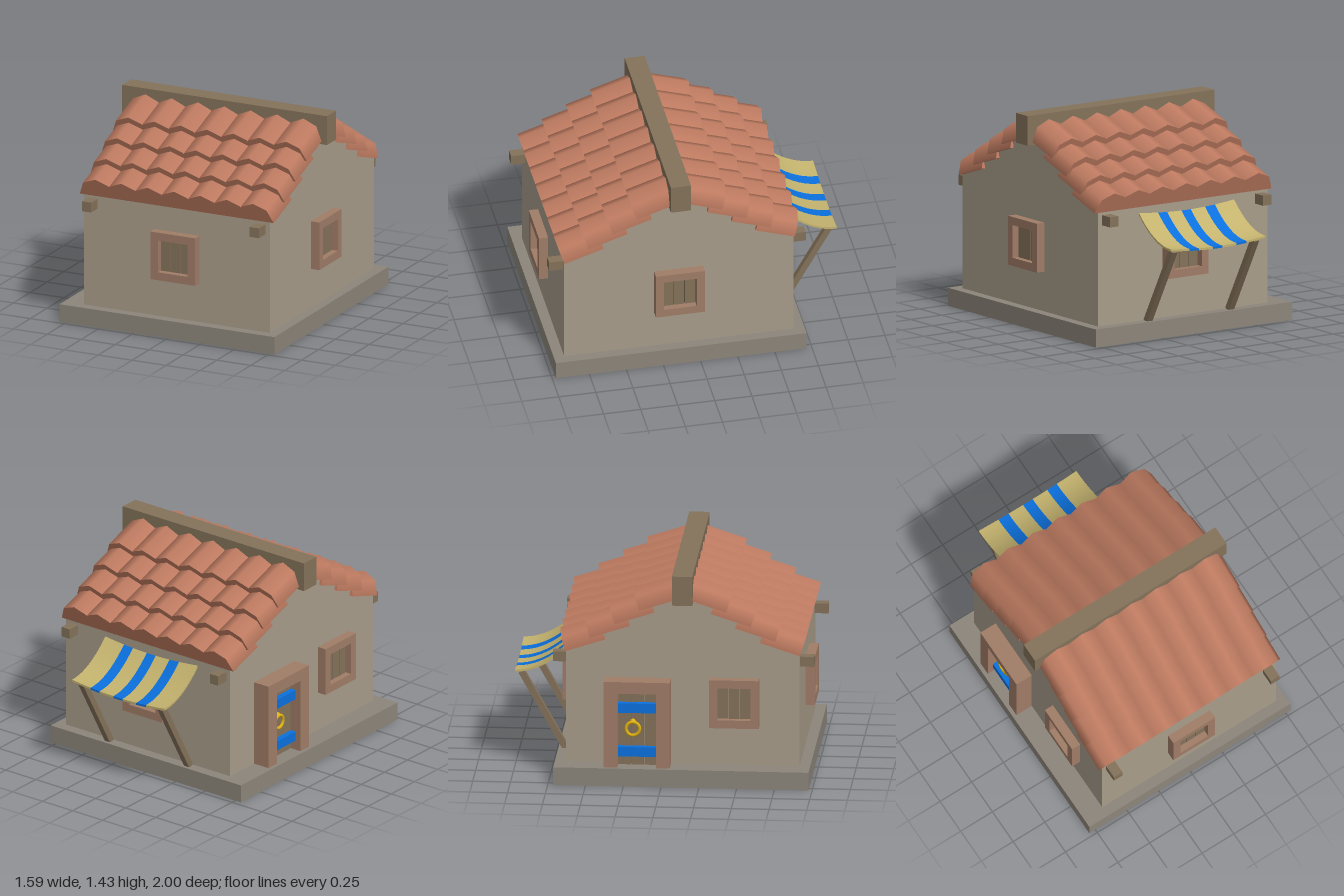
import * as THREE from 'three';
import { mergeGeometries } from 'three/addons/utils/BufferGeometryUtils.js';

const mat = (color) => new THREE.MeshStandardMaterial({ color });
const stone = mat(0x8c857a), plaster = mat(0xa89c8a), trim = mat(0xa07c67), clay = mat(0xbd7a60);
const wood = mat(0x84725a), blue = mat(0x0b70dd), cloth = mat(0xc4b36e), gold = mat(0xe0b212);

const CX = 0.035, CZ = 0.133; // centre of the walls

function add(parent, name, geometry, material, x = 0, y = 0, z = 0) {
  const mesh = new THREE.Mesh(geometry, material);
  mesh.name = name;
  mesh.position.set(x, y, z);
  parent.add(mesh);
  return mesh;
}
const box = (parent, name, material, w, h, d, x, y, z) =>
  add(parent, name, new THREE.BoxGeometry(w, h, d), material, x, y, z);

function group(parent, name, x, y, z, turn = 0) {
  const g = new THREE.Group();
  g.name = name;
  g.position.set(x, y, z);
  g.rotation.y = turn;
  parent.add(g);
  return g;
}

// Square frame with an opening and three recessed shutter boards; faces local +z
function addWindow(parent, name, x, z, turn) {
  const g = group(parent, name, x, 0.555, z, turn);
  const square = (P, s) => new P([[-s, -s], [s, -s], [s, s], [-s, s]].map((p) => new THREE.Vector2(...p)));
  const frame = square(THREE.Shape, 0.165);
  frame.holes.push(square(THREE.Path, 0.11));
  add(g, 'windowFrame', new THREE.ExtrudeGeometry(frame, { depth: 0.063, bevelEnabled: false }), trim);
  for (let i = -1; i <= 1; i++) box(g, 'shutterBoard', wood, 0.069, 0.22, 0.02, i * 0.073, 0, 0.01);
}

// Door in a deep frame with blue straps and a ring handle; faces local +z
function addDoor(parent, x, z, turn) {
  const g = group(parent, 'door', x, 0.12, z, turn);
  for (const s of [-1, 1]) box(g, 'doorPost', trim, 0.09, 0.51, 0.12, s * 0.173, 0.255, 0.06);
  box(g, 'doorLintel', trim, 0.436, 0.08, 0.12, 0, 0.55, 0.06);
  for (let i = -1; i <= 1; i++) box(g, 'doorBoard', wood, 0.081, 0.51, 0.04, i * 0.085, 0.255, 0.02);
  for (const y of [0.1, 0.4]) box(g, 'doorStrap', blue, 0.256, 0.065, 0.05, 0, y, 0.055);
  add(g, 'handleKnob', new THREE.SphereGeometry(0.02, 12, 8), gold, -0.03, 0.3, 0.05);
  add(g, 'handleRing', new THREE.TorusGeometry(0.045, 0.011, 8, 20), gold, -0.03, 0.255, 0.062);
}

// Half-round tile with flat underside; its outer lower edge sits at the origin
function tileGeometry() {
  const r = 0.133, len = 0.277;
  const arch = new THREE.CylinderGeometry(r, r, len, 4, 1, false, -Math.PI / 2, Math.PI).rotateX(-Math.PI / 2);
  const floor = new THREE.PlaneGeometry(2 * r, len).rotateX(Math.PI / 2);
  return mergeGeometries([arch, floor]).translate(0, 0, -len / 2).rotateX(0.316);
}

function addRoof(parent) {
  const roof = group(parent, 'roof', CX, 0, CZ);
  const tile = tileGeometry();
  for (const turn of [0, Math.PI]) {
    const slope = group(roof, 'roofSlope', 0, 0, 0, turn);
    for (let row = 0; row < 4; row++)
      for (let col = -3; col <= 3; col++)
        add(slope, 'roofTile', tile, clay, col * 0.194, 0.888 + row * 0.0965, 0.777 - row * 0.163);
  }
  box(roof, 'ridgeBeam', wood, 1.51, 0.2, 0.135, 0, 1.33, 0);
}

// Striped cloth that falls away from the wall and sags between its posts
function addAwning(parent) {
  const g = group(parent, 'awning', 0, 0, 0);
  const edges = [-0.38, -0.225, -0.145, -0.03, 0.045, 0.16, 0.235, 0.39];
  const drop = (t) => 0.842 - 0.37 * t + 0.185 * t * t;
  for (let i = 0; i < edges.length - 1; i++) {
    const w = edges[i + 1] - edges[i];
    const geo = new THREE.BoxGeometry(w, 0.014, 0.36, 3, 1, 10);
    geo.translate((edges[i] + edges[i + 1]) / 2, 0, -0.82);
    const p = geo.attributes.position;
    for (let k = 0; k < p.count; k++) {
      const t = (-0.64 - p.getZ(k)) / 0.36, u = (p.getX(k) - 0.005) / 0.385;
      p.setY(k, p.getY(k) + drop(t) - 0.025 * (1 - u * u));
    }
    geo.computeVertexNormals();
    add(g, 'awningStripe', geo, i % 2 ? blue : cloth);
  }
  // Slanted posts
  const foot = new THREE.Vector2(-0.665, 0.12), head = new THREE.Vector2(-0.958, 0.64);
  for (const x of [-0.325, 0.335]) {
    const post = box(g, 'awningPost', wood, 0.042, foot.distanceTo(head), 0.042,
      x, (foot.y + head.y) / 2, (foot.x + head.x) / 2);
    post.rotation.x = Math.atan2(head.x - foot.x, head.y - foot.y);
  }
}

export function createModel() {
  const house = new THREE.Group();
  house.name = 'house';

  box(house, 'foundation', stone, 1.585, 0.122, 1.69, -0.004, 0.061, 0.131);

  // Walls with gables: side outline in (z, y), extruded along x
  const outline = [[-0.64, 0.12], [0.906, 0.12], [0.906, 0.89], [CZ, 1.34], [-0.64, 0.89]];
  const gable = new THREE.Shape(outline.map((p) => new THREE.Vector2(...p)));
  const walls = new THREE.ExtrudeGeometry(gable, { depth: 1.37, bevelEnabled: false }).rotateY(-Math.PI / 2);
  add(house, 'walls', walls, plaster, 0.72);

  addRoof(house);

  // Cross beams poking out under the eaves
  for (const x of [-0.585, 0.652]) box(house, 'eaveBeam', wood, 0.068, 0.068, 1.73, x, 0.834, 0.135);

  addWindow(house, 'frontWindow', CX, 0.905, 0);
  addWindow(house, 'backWindow', CX, -0.64, Math.PI);
  addWindow(house, 'leftWindow', 0.72, 0.135, Math.PI / 2);
  addWindow(house, 'rightWindow', -0.65, 0.475, -Math.PI / 2);
  addDoor(house, -0.65, -0.163, -Math.PI / 2);
  addAwning(house);
  return house;
}
